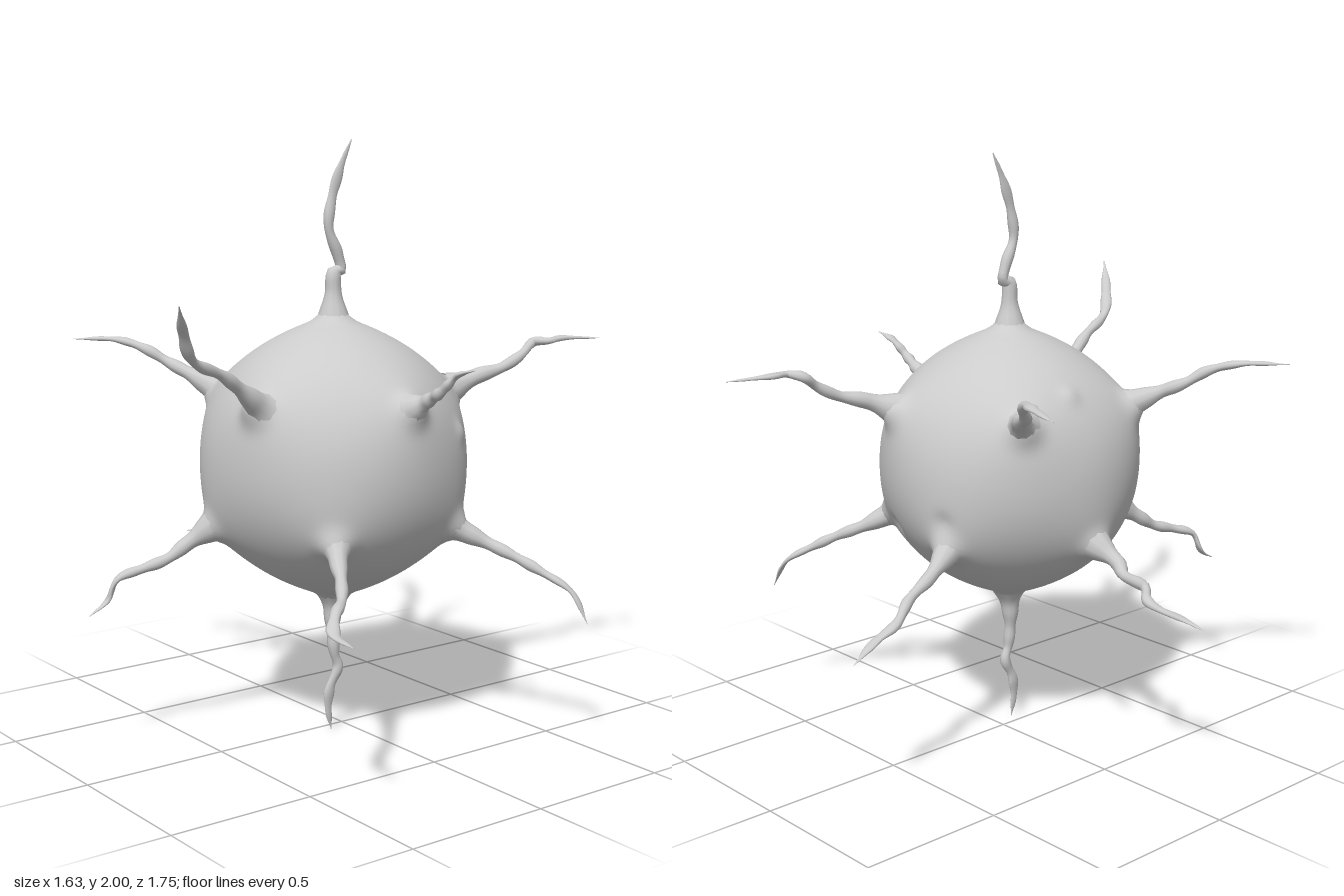
import * as THREE from 'three';
import { mergeVertices } from 'three/addons/utils/BufferGeometryUtils.js';

const V = (x, y, z) => new THREE.Vector3(x, y, z);
const CENTER = V(0.04, 0.95, 0.065);
const BODY_R = 0.445;

// Centre lines of the twelve arms, from root to tip
const ARMS = {
  topArm: [[0.04, 1.41, 0.065], [0.04, 1.5, 0.065], [0.04, 1.57, 0.06], [0.04, 1.575, 0.035], [0.04, 1.63, 0.048],
    [0.04, 1.715, 0.083], [0.04, 1.81, 0.07], [0.04, 1.91, 0.035], [0.04, 2, -0.01]],
  bottomArm: [[0.04, 0.48, 0.065], [0.04, 0.36, 0.07], [0.045, 0.27, 0.065], [0.045, 0.22, 0.05],
    [0.04, 0.15, 0.08], [0.04, 0.08, 0.088], [0.04, 0, 0.075]],
  upperFrontArm: [[0.18, 1.165, 0.45], [0.21, 1.23, 0.54], [0.235, 1.29, 0.63], [0.27, 1.35, 0.76],
    [0.32, 1.44, 0.82], [0.38, 1.525, 0.87]],
  upperLeftArm: [[0.46, 1.165, 0.065], [0.53, 1.2, 0.06], [0.6, 1.235, 0.07], [0.655, 1.29, 0.05], [0.72, 1.31, 0.04]],
  upperBackArm: [[0.18, 1.165, -0.32], [0.215, 1.205, -0.42], [0.24, 1.23, -0.51], [0.255, 1.27, -0.585],
    [0.255, 1.31, -0.64], [0.3, 1.315, -0.665], [0.29, 1.32, -0.74], [0.335, 1.315, -0.88]],
  upperRightBackArm: [[-0.29, 1.165, -0.18], [-0.355, 1.205, -0.25], [-0.44, 1.24, -0.31], [-0.49, 1.285, -0.37],
    [-0.535, 1.31, -0.4], [-0.63, 1.325, -0.46], [-0.77, 1.32, -0.515]],
  upperRightFrontArm: [[-0.29, 1.165, 0.31], [-0.38, 1.215, 0.37], [-0.45, 1.25, 0.41], [-0.5, 1.29, 0.46],
    [-0.59, 1.32, 0.52], [-0.71, 1.32, 0.632]],
  lowerFrontArm: [[-0.09, 0.745, 0.46], [-0.125, 0.69, 0.54], [-0.14, 0.645, 0.61], [-0.16, 0.62, 0.69],
    [-0.19, 0.59, 0.77], [-0.205, 0.52, 0.8], [-0.2, 0.48, 0.87]],
  lowerLeftFrontArm: [[0.37, 0.745, 0.3], [0.44, 0.7, 0.345], [0.5, 0.67, 0.38], [0.575, 0.625, 0.435],
    [0.63, 0.605, 0.5], [0.69, 0.57, 0.55], [0.81, 0.56, 0.57]],
  lowerLeftBackArm: [[0.37, 0.745, -0.17], [0.445, 0.69, -0.255], [0.52, 0.65, -0.31], [0.6, 0.6, -0.37],
    [0.68, 0.54, -0.43], [0.735, 0.44, -0.45]],
  lowerBackArm: [[-0.09, 0.745, -0.32], [-0.135, 0.68, -0.45], [-0.147, 0.635, -0.54], [-0.19, 0.585, -0.63],
    [-0.2, 0.555, -0.72], [-0.245, 0.52, -0.84]],
  lowerRightArm: [[-0.38, 0.745, 0.065], [-0.48, 0.7, 0.07], [-0.525, 0.675, 0.05], [-0.58, 0.64, 0.09],
    [-0.63, 0.615, 0.05], [-0.675, 0.595, 0.06], [-0.73, 0.57, 0.1], [-0.82, 0.55, 0.11]],
};

// Icosahedral root directions: two poles and two staggered rings of five
function rootDirections() {
  const dirs = [V(0, 1, 0), V(0, -1, 0)];
  for (let i = 0; i < 5; i++) {
    const a = THREE.MathUtils.degToRad(18 + 72 * i);
    const s = 0.894 * Math.sin(a), c = 0.894 * Math.cos(a);
    dirs.push(V(s, 0.447, c), V(-s, -0.447, c));
  }
  return dirs;
}

// Ball drawn out to a soft cone at every root, with a few shallow blemishes
function makeBody() {
  const roots = rootDirections();
  const blemishes = [
    [V(-0.75, 0.64, -0.1), 0.012], [V(0.78, 0.24, -0.57), 0.012],
    [V(0.38, -0.45, -0.81), -0.014], [V(-0.3, -0.25, -0.92), -0.012],
  ];
  blemishes.forEach(([d]) => d.normalize());
  let geo = new THREE.IcosahedronGeometry(1, 26);
  geo.deleteAttribute('normal');
  geo.deleteAttribute('uv');
  geo = mergeVertices(geo, 1e-4);
  const pos = geo.attributes.position, p = V(0, 0, 0);
  for (let i = 0; i < pos.count; i++) {
    p.fromBufferAttribute(pos, i).normalize();
    let r = BODY_R;
    for (const d of roots) {
      const a = p.angleTo(d);
      r += 0.022 * Math.exp(-((a / 0.3) ** 2)) + 0.05 * Math.exp(-((a / 0.1) ** 2));
    }
    for (const [d, h] of blemishes) r += h * Math.exp(-((p.angleTo(d) / 0.07) ** 2));
    p.multiplyScalar(r).add(CENTER);
    pos.setXYZ(i, p.x, p.y, p.z);
  }
  geo.computeVertexNormals();
  return geo;
}

// Arm: flared root, thin wavering shaft, flattened blade ending in a point
function makeArm(points, phase) {
  const curve = new THREE.CatmullRomCurve3(points.map((p) => V(...p)), false, 'centripetal');
  const rings = 48, sides = 10, verts = [], index = [];
  const vertical = Math.abs(points.at(-1)[1] - points[0][1]) > 0.45;
  const up = vertical ? V(1, 0, 0) : V(0, 1, 0);
  for (let i = 0; i <= rings; i++) {
    const t = i / rings;
    const c = curve.getPointAt(t), tan = curve.getTangentAt(t);
    const side = V(0, 0, 0).crossVectors(tan, up).normalize();
    const other = V(0, 0, 0).crossVectors(side, tan).normalize();
    const base = 0.016 + 0.042 * Math.exp(-t / 0.13) + 0.002 * Math.sin(t * 34 + phase);
    const blade = THREE.MathUtils.smoothstep(t, 0.5, 0.8);
    const tip = Math.sqrt(Math.max(0, 1 - THREE.MathUtils.smoothstep(t, 0.72, 1) * 0.99));
    const w = base * (1 + 0.25 * blade) * tip, h = base * (1 - 0.45 * blade) * tip;
    for (let j = 0; j < sides; j++) {
      const a = (j / sides) * Math.PI * 2;
      const q = c.clone().addScaledVector(side, w * Math.cos(a)).addScaledVector(other, h * Math.sin(a));
      verts.push(q.x, q.y, q.z);
      if (i < rings) {
        const k = (j + 1) % sides, b = i * sides;
        index.push(b + j, b + k, b + sides + j, b + k, b + sides + k, b + sides + j);
      }
    }
  }
  // close the tip
  const last = rings * sides;
  for (let j = 1; j < sides - 1; j++) index.push(last, last + j, last + j + 1);
  const geo = new THREE.BufferGeometry();
  geo.setAttribute('position', new THREE.Float32BufferAttribute(verts, 3));
  geo.setIndex(index);
  geo.computeVertexNormals();
  return geo;
}

export function createModel() {
  const group = new THREE.Group();
  group.name = 'spikedCell';
  const material = new THREE.MeshStandardMaterial({ color: 0xcccccc, side: THREE.DoubleSide });
  const add = (name, geo) => {
    const mesh = new THREE.Mesh(geo, material);
    mesh.name = name;
    group.add(mesh);
  };
  add('body', makeBody());
  Object.entries(ARMS).forEach(([name, points], i) => add(name, makeArm(points, i * 1.7)));
  return group;
}
